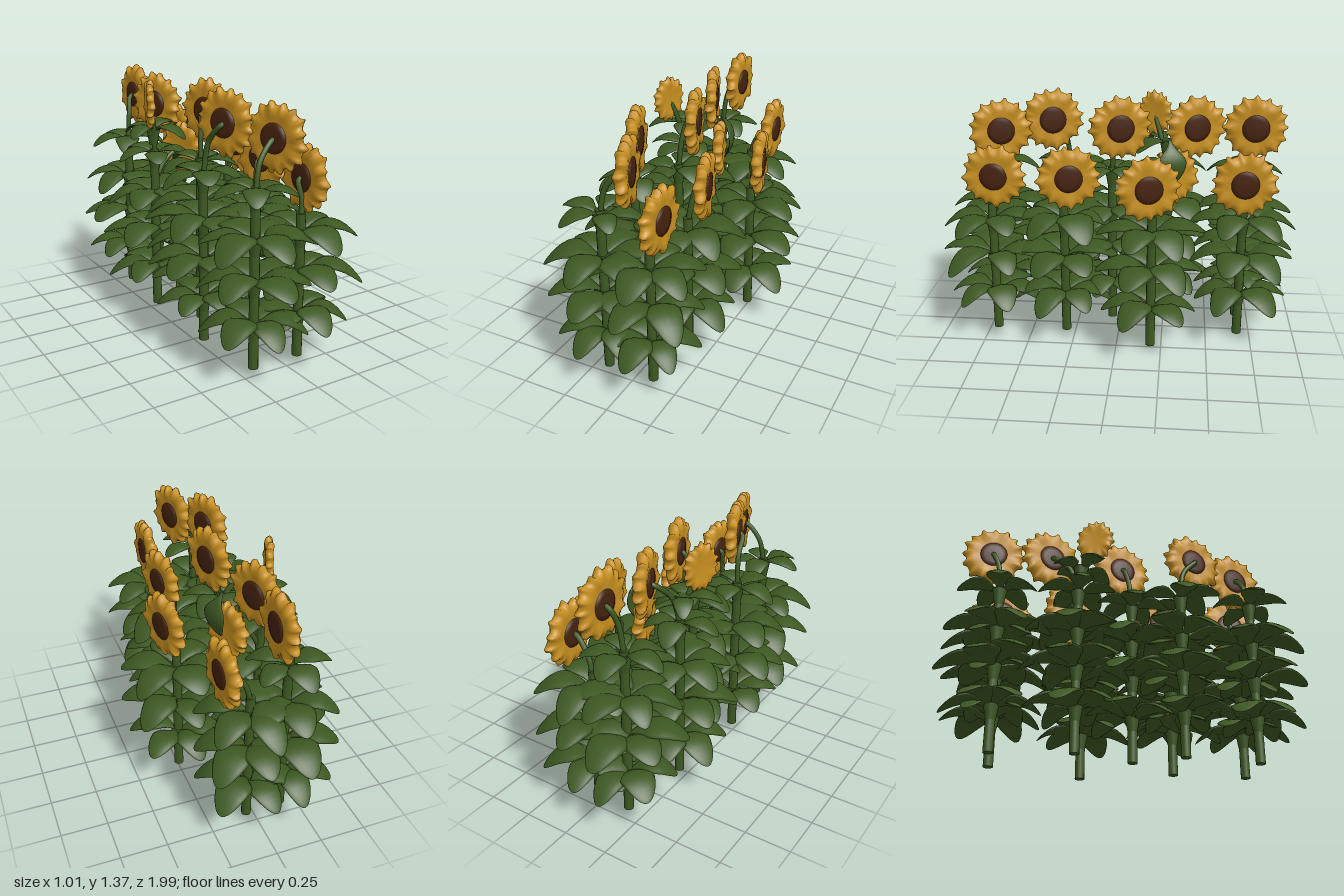
import * as THREE from 'three';

const green = new THREE.MeshStandardMaterial({ color: 0x3d5822 });
green.name = 'leafGreen';
const yellow = new THREE.MeshStandardMaterial({ color: 0xc89020 });
yellow.name = 'petalYellow';
const brown = new THREE.MeshStandardMaterial({ color: 0x46220e });
brown.name = 'seedBrown';

// Small seeded generator for natural variation
let seed = 11;
const rand = () => (seed = (seed * 16807) % 2147483647) / 2147483647;
const jitter = (amount) => (rand() * 2 - 1) * amount;

// Move every vertex of a geometry by a rule
function warp(geometry, rule) {
  const p = geometry.attributes.position;
  const v = new THREE.Vector3();
  for (let i = 0; i < p.count; i++) {
    v.fromBufferAttribute(p, i);
    rule(v);
    p.setXYZ(i, v.x, v.y, v.z);
  }
  geometry.computeVertexNormals();
  return geometry;
}

// Unit-length broad leaf along +x: narrow stalk, gentle arch, drooping tip
function leafGeometry(arch, droop) {
  const g = new THREE.SphereGeometry(0.5, 12, 14).rotateZ(Math.PI / 2);
  return warp(g, (v) => {
    const u = v.x + 0.5;
    v.z *= 0.66 * THREE.MathUtils.lerp(0.25, 1, THREE.MathUtils.smoothstep(u, 0.05, 0.5)) * (1.15 - 0.35 * u);
    v.y *= 0.1;
    v.y += arch * Math.sin(Math.PI * u * 0.85) - droop * u * u - 0.5 * v.z * v.z * u;
    v.x = u;
  });
}
const leaves = [leafGeometry(0.27, 0.17), leafGeometry(0.28, 0.25), leafGeometry(0.24, 0.1)];

// Ragged ring of petals, its axis along +x
const petalProfile = [[0, 0.024], [0.075, 0.025], [0.11, 0.03], [0.14, 0.028], [0.16, 0.016],
  [0.167, 0], [0.16, -0.016], [0.14, -0.028], [0.11, -0.03], [0.075, -0.025], [0, -0.024]]
  .map(([r, y]) => new THREE.Vector2(r, y)).reverse();
const petalRing = warp(new THREE.LatheGeometry(petalProfile, 108), (v) => {
  const r = Math.hypot(v.x, v.z);
  const a = Math.atan2(v.z, v.x);
  const edge = THREE.MathUtils.smoothstep(r, 0.085, 0.165);
  const tip = Math.pow(0.5 + 0.5 * Math.cos(16 * a + 0.5 * Math.sin(3 * a)), 3);
  const s = 1 + edge * (0.14 * tip - 0.06 + 0.025 * Math.sin(5 * a));
  v.x *= s;
  v.z *= s;
  v.y += edge * (0.006 * Math.cos(8 * a) + 0.004 * Math.sin(5 * a));
}).rotateZ(-Math.PI / 2);

// Shallow seed disc showing on both faces
const seedDisc = new THREE.LatheGeometry(
  [[0, -0.032], [0.05, -0.031], [0.074, -0.027], [0.077, 0], [0.074, 0.027], [0.05, 0.031], [0, 0.032]]
    .map(([r, y]) => new THREE.Vector2(r, y)), 32).rotateZ(-Math.PI / 2);

const flare = new THREE.CylinderGeometry(0.04, 0.023, 0.1, 12);

function part(group, name, geometry, material) {
  const mesh = new THREE.Mesh(geometry, material);
  mesh.name = name;
  group.add(mesh);
  return mesh;
}

function tube(group, name, points, radius) {
  const curve = new THREE.CatmullRomCurve3(points.map((p) => new THREE.Vector3(...p)));
  part(group, name, new THREE.TubeGeometry(curve, 20, radius, 10), green);
}

// Flower head at a point, turned about y
function addHead(group, [x, y, z], yaw) {
  const head = new THREE.Group();
  head.name = 'flowerHead';
  part(head, 'petals', petalRing, yellow).rotation.x = rand() * Math.PI * 2;
  head.position.set(x, y, z);
  head.rotation.y = yaw;
  group.add(head);
  return head;
}

// Whorl of leaves around a stem
function addTier(group, x, y, z, length, count, start) {
  part(group, 'leafNode', flare, green).position.set(x, y - 0.05, z);
  for (let i = 0; i < count; i++) {
    const leaf = part(group, 'leaf', leaves[Math.floor(rand() * leaves.length)], green);
    const l = length * (1 + jitter(0.08));
    leaf.position.set(x, y - 0.02 + jitter(0.012), z);
    leaf.scale.set(l, l, l * (1 + jitter(0.1)));
    leaf.rotation.y = start + (i / count) * Math.PI * 2 + jitter(0.12);
  }
}

// Stem foot [x, z], head centre, head turn
const plants = [
  { foot: [-0.16, -0.68], head: [-0.075, 1.19, -0.73], yaw: 0.02 },
  { foot: [-0.2, -0.26], head: [-0.1, 1.18, -0.41], yaw: 0.35 },
  { foot: [-0.085, 0.05], head: [-0.01, 1.19, 0], yaw: 0.28 },
  { foot: [-0.215, 0.3], head: [-0.14, 1.2, 0.39], yaw: 0.32 },
  { foot: [-0.17, 0.7], head: [-0.03, 1.16, 0.66], yaw: 0.3 },
  { foot: [0.035, -0.68], head: [0.175, 0.95, -0.67], yaw: 0.05 },
  { foot: [0.245, -0.19], head: [0.3, 0.95, -0.17], yaw: 0.26 },
  { foot: [0.1, 0.3], head: [0.178, 0.96, 0.26], yaw: 0.24 },
  { foot: [0.1, 0.7], head: [0.14, 0.95, 0.67], yaw: 0.0 },
];

export function createModel() {
  const model = new THREE.Group();
  model.name = 'sunflowerRow';

  plants.forEach(({ foot: [x, z], head, yaw }, i) => {
    const plant = new THREE.Group();
    plant.name = 'sunflower';
    model.add(plant);
    const [hx, hy, hz] = head;
    const tall = hy > 1.1;

    // Straight stem with a slim bent neck
    const y0 = i === 5 ? 0.005 : 0.02;
    const top = tall ? 0.95 : 0.78;
    part(plant, 'stem', new THREE.CylinderGeometry(0.024, 0.026, top - y0, 12), green)
      .position.set(x, (top + y0) / 2, z);
    tube(plant, 'neck', [[x, top - 0.03, z], [x + (hx - x) * 0.2, hy - 0.1, z + (hz - z) * 0.3],
      [hx - 0.04 * Math.cos(yaw), hy - 0.01, hz + 0.04 * Math.sin(yaw)], [hx, hy, hz]], 0.014);
    part(addHead(plant, head, yaw), 'seedDisc', seedDisc, brown);

    // Leaf whorls
    const start = Math.PI / 6 + jitter(0.15);
    addTier(plant, x, 0.27, z, 0.265, 6, start);
    addTier(plant, x, 0.49, z, 0.29, 6, start);
    addTier(plant, x, 0.7, z, 0.285, 6, start);
    if (tall) addTier(plant, x, 0.93, z, 0.21, 5, start);
  });

  // Branches with an unopened head and a seedless head on one tall plant
  const branches = new THREE.Group();
  branches.name = 'sideBranches';
  model.add(branches);
  tube(branches, 'branch', [[-0.2, 0.85, -0.26], [-0.21, 1.0, -0.24], [-0.24, 1.15, -0.2], [-0.265, 1.22, -0.18]], 0.014);
  addHead(branches, [-0.265, 1.22, -0.18], -0.36).scale.set(0.7, 0.73, 0.6);
  tube(branches, 'branch', [[-0.2, 0.75, -0.26], [-0.14, 0.86, -0.27], [-0.06, 0.92, -0.28], [0, 0.93, -0.29]], 0.014);
  addHead(branches, [0, 0.93, -0.29], 0.35).scale.set(1, 0.9, 0.85);
  addTier(branches, -0.21, 1.08, -0.25, 0.19, 4, 0.6);

  // Leaf hanging in front of the lower branch head
  const hanging = part(branches, 'hangingLeaf', leaves[0], green);
  hanging.position.set(0.02, 1.14, -0.27);
  hanging.rotation.set(0, 0.3, -1.45);
  hanging.scale.set(0.25, 0.22, 0.25);

  return model;
}
